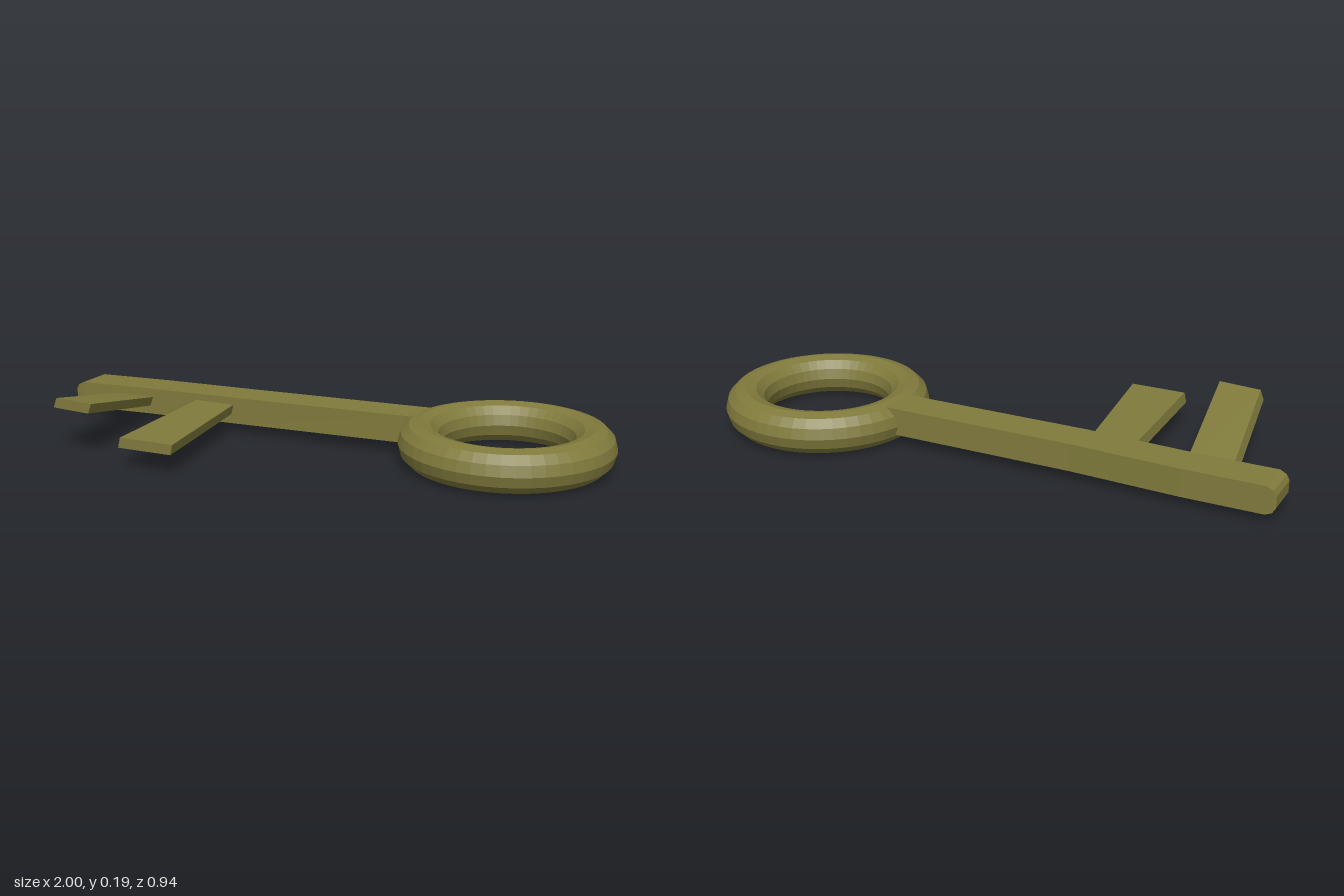
import * as THREE from 'three';

const material = new THREE.MeshStandardMaterial({ color: 0x807a3c, flatShading: true });

// Moves each vertex of a unit box (coordinates -0.5..0.5) by a rule
function shapedBox(name, segmentsX, rule) {
  const geometry = new THREE.BoxGeometry(1, 1, 1, segmentsX, 1, 1);
  const pos = geometry.attributes.position;
  for (let i = 0; i < pos.count; i++) {
    pos.setXYZ(i, ...rule(pos.getX(i), pos.getY(i), pos.getZ(i)));
  }
  geometry.computeVertexNormals();
  const mesh = new THREE.Mesh(geometry, material);
  mesh.name = name;
  return mesh;
}

// Flat bar running along z; root and tip give x range, base height and z
function tooth(name, root, tip, thickness, lean) {
  return shapedBox(name, 1, (x, y, z) => {
    const end = z > 0 ? tip : root;
    const up = y > 0 ? 1 : 0;
    return [
      (x > 0 ? end.right : end.left) + up * lean,
      end.y + up * thickness,
      end.z + (x > 0 ? end.skew : 0),
    ];
  });
}

export function createModel() {
  const key = new THREE.Group();
  key.name = 'key';

  // Ring handle lying flat
  const ring = new THREE.Mesh(new THREE.TorusGeometry(0.284, 0.071, 12, 48), material);
  ring.name = 'ringHandle';
  ring.rotation.x = -Math.PI / 2;
  ring.position.set(0.64, 0.071, -0.116);
  key.add(ring);

  // Slightly bent shaft with a rounded end: x, centre y, centre z, half height, half width
  const stations = [
    [-1.0, 0.07, -0.1, 0.02, 0.064],
    [-0.99, 0.07, -0.1, 0.037, 0.066],
    [-0.968, 0.071, -0.1, 0.047, 0.067],
    [-0.7, 0.075, -0.113, 0.047, 0.067],
    [-0.33, 0.081, -0.115, 0.047, 0.067],
    [0.3, 0.087, -0.139, 0.047, 0.066],
    [0.36, 0.088, -0.141, 0.047, 0.066],
  ];
  const spans = stations.length - 1;
  key.add(shapedBox('shaft', spans, (x, y, z) => {
    const [sx, cy, cz, h, w] = stations[Math.round((x + 0.5) * spans)];
    return [sx, cy + 2 * y * h, cz + 2 * z * w];
  }));

  // Two teeth: the outer one tilts upward, the inner one widens toward its tip
  key.add(tooth('outerTooth',
    { left: -0.838, right: -0.69, y: 0.053, z: -0.07, skew: 0 },
    { left: -0.772, right: -0.623, y: 0.153, z: 0.408, skew: 0.014 }, 0.034, 0.013));
  key.add(tooth('innerTooth',
    { left: -0.5, right: -0.352, y: 0.067, z: -0.07, skew: 0 },
    { left: -0.478, right: -0.283, y: 0.068, z: 0.467, skew: -0.004 }, 0.035, 0.008));

  return key;
}
